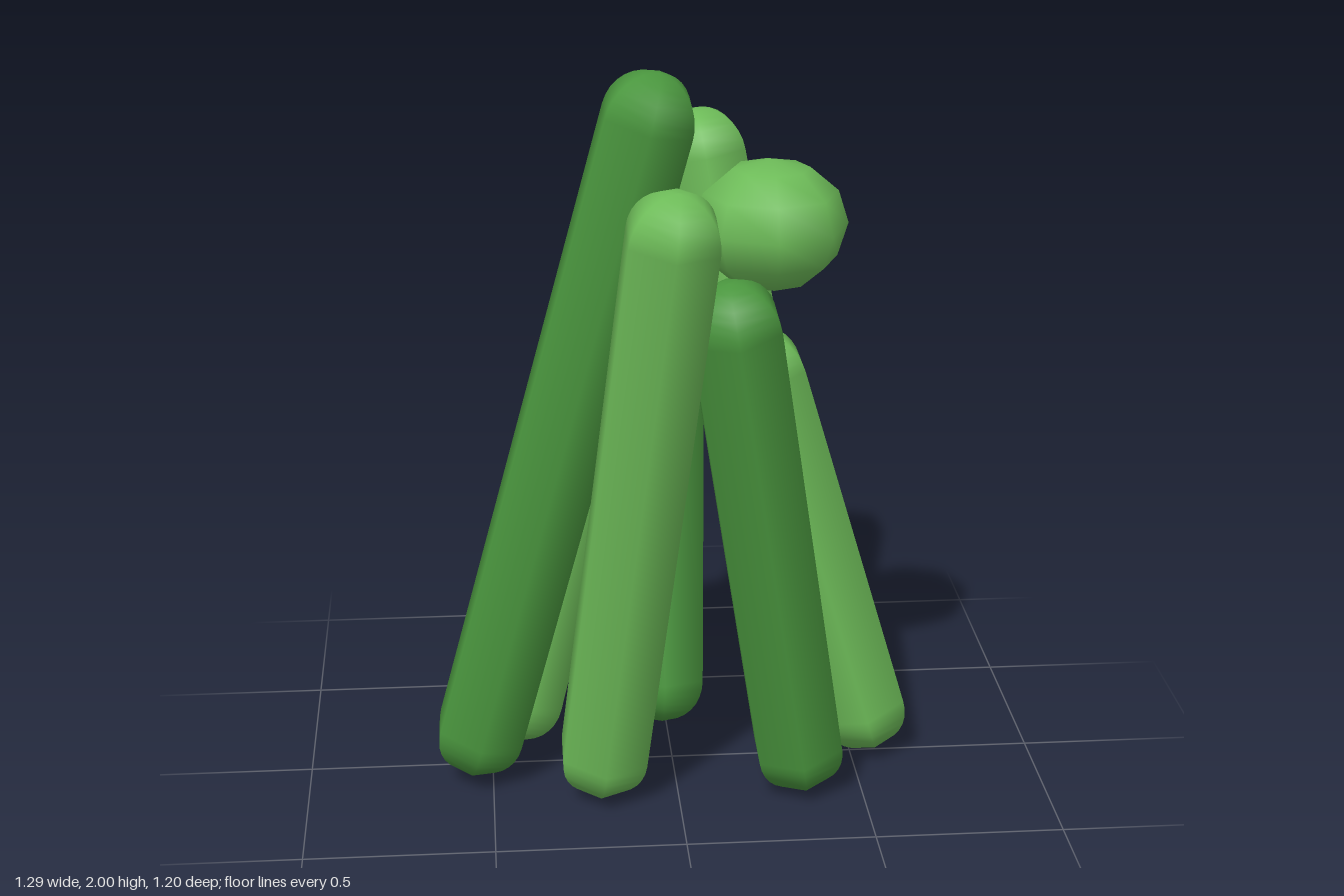
import * as THREE from 'three';

const RADIUS = 0.13;
const light = new THREE.MeshStandardMaterial({ color: 0x6dbb58 });
const dark = new THREE.MeshStandardMaterial({ color: 0x4a963e });

// Six-sided rod with rounded ends, running between two end-cap centres
function makeStalk(bottom, top, material) {
  const a = new THREE.Vector3(...bottom);
  const b = new THREE.Vector3(...top);
  const half = a.distanceTo(b) / 2;
  const path = new THREE.Path();
  path.absarc(0, -half, RADIUS, Math.PI * 1.5, 0);
  path.absarc(0, half, RADIUS, 0, Math.PI * 0.5);
  const mesh = new THREE.Mesh(new THREE.LatheGeometry(path.getPoints(4), 6), material);
  mesh.position.copy(a).add(b).multiplyScalar(0.5);
  mesh.quaternion.setFromUnitVectors(new THREE.Vector3(0, 1, 0), b.sub(a).normalize());
  return mesh;
}

export function createModel() {
  const model = new THREE.Group();
  model.name = 'stalkCluster';

  // Ring of stalks leaning in different directions: bottom, top, colour
  const stalks = [
    ['backStalk', [-0.01, 0.13, -0.25], [0.01, 1.38, -0.475], dark],
    ['backLeftStalk', [0.38, 0.145, -0.175], [0.115, 1.63, -0.385], light],
    ['leftStalk', [0.53, 0.145, 0], [0.24, 1.12, 0], light],
    ['frontLeftStalk', [0.325, 0.14, 0.22], [0.125, 1.38, 0.4], dark],
    ['frontStalk', [-0.2, 0.14, 0.22], [-0.035, 1.63, 0.47], light],
    ['rightStalk', [-0.53, 0.155, 0.095], [-0.08, 1.87, 0.23], dark],
    ['backRightStalk', [-0.415, 0.145, -0.13], [-0.17, 1.12, -0.225], light],
  ];
  for (const [name, bottom, top, material] of stalks) {
    const stalk = makeStalk(bottom, top, material);
    stalk.name = name;
    model.add(stalk);
  }

  // Slightly flattened round bud above the left stalk
  const bud = new THREE.Mesh(new THREE.SphereGeometry(0.2, 8, 6), light);
  bud.name = 'bud';
  bud.scale.y = 0.85;
  bud.position.set(0.24, 1.58, 0.15);
  model.add(bud);

  return model;
}
